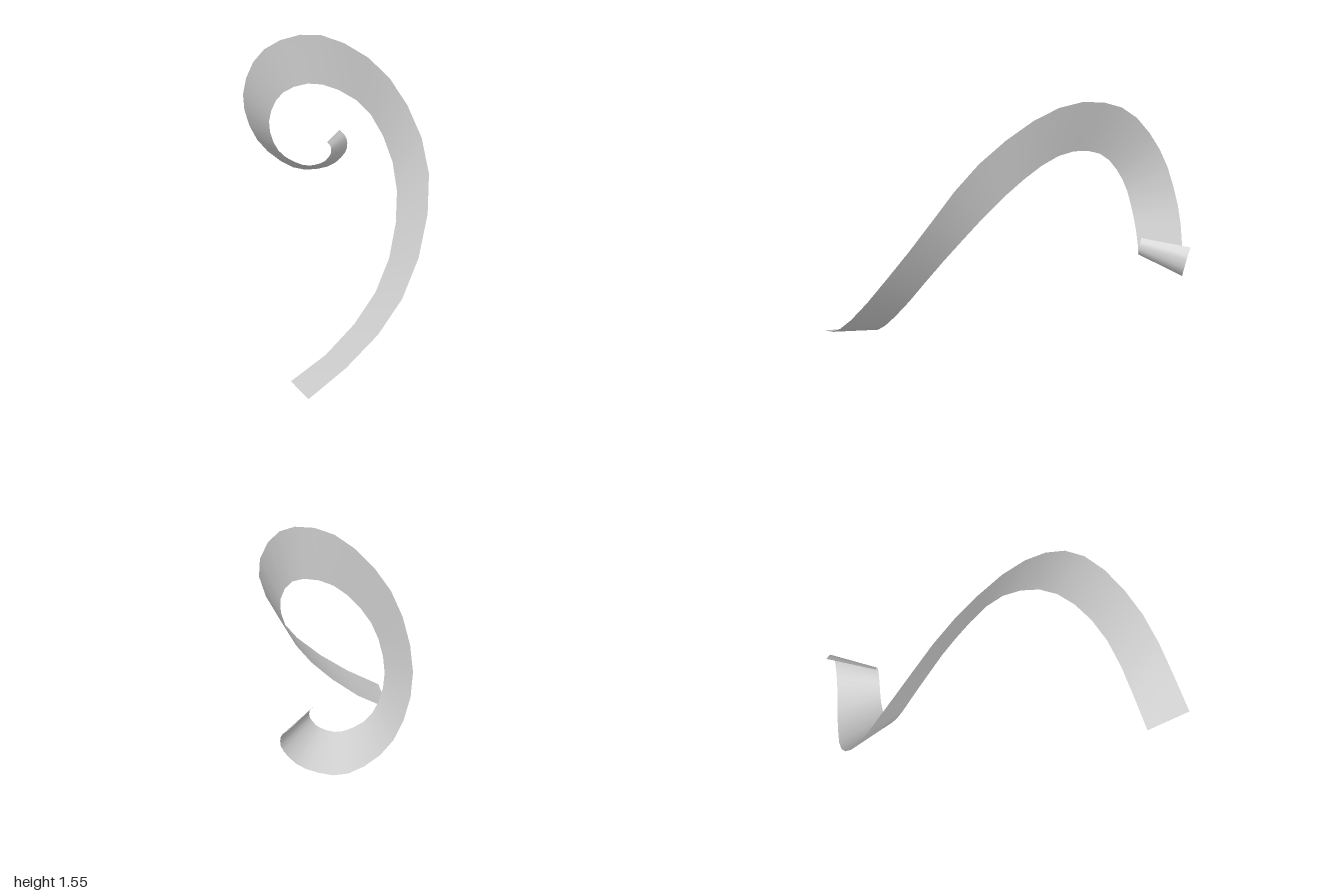
import * as THREE from 'three';

// Matching knots along the two edges of the ribbon, from its foot to the curled tip.
// The first knot of each edge only sets the direction of the curve at the foot.
const OUTER = [
  [-0.35, -0.27, 1.455], [0.24, 0.03, 1], [0.61, 0.45, 0.615], [0.65, 0.99, 0.24],
  [0.37, 1.41, -0.03], [-0.075, 1.56, -0.285], [-0.475, 1.415, -0.495], [-0.667, 1.1, -0.665],
  [-0.63, 0.79, -0.8], [-0.435, 0.605, -0.895], [-0.235, 0.61, -0.95], [-0.13, 0.7, -0.98],
  [-0.125, 0.785, -0.995], [-0.17, 0.835, -1],
];
const INNER = [
  [-0.53, -0.16, 1.185], [0.08, 0.005, 0.78], [0.43, 0.4, 0.445], [0.46, 0.85, 0.135],
  [0.25, 1.18, -0.12], [-0.07, 1.285, -0.29], [-0.34, 1.19, -0.425], [-0.46, 0.985, -0.525],
  [-0.43, 0.79, -0.605], [-0.305, 0.695, -0.675], [-0.2, 0.705, -0.71], [-0.15, 0.755, -0.725],
  [-0.148, 0.8, -0.73], [-0.17, 0.83, -0.73],
];
const STEPS_PER_KNOT = 3;

function edgeCurve(knots) {
  return new THREE.CatmullRomCurve3(knots.map((k) => new THREE.Vector3(...k)), false, 'catmullrom', 0.5);
}

// Strip of quads stretched between two edge curves
function ribbonGeometry(outer, inner, segments, first) {
  const positions = [];
  const indices = [];
  for (let i = first; i <= segments; i++) {
    const t = i / segments;
    positions.push(...outer.getPoint(t).toArray(), ...inner.getPoint(t).toArray());
    if (i < segments) {
      const a = (i - first) * 2;
      indices.push(a, a + 2, a + 1, a + 1, a + 2, a + 3);
    }
  }
  const geometry = new THREE.BufferGeometry();
  geometry.setAttribute('position', new THREE.Float32BufferAttribute(positions, 3));
  geometry.setIndex(indices);
  geometry.computeVertexNormals();
  return geometry;
}

export function createModel() {
  const group = new THREE.Group();
  group.name = 'spiralRibbon';

  const grey = new THREE.MeshStandardMaterial({ color: 0xcccccc, side: THREE.DoubleSide });
  grey.name = 'lightGrey';

  // Thin curling band
  const segments = (OUTER.length - 1) * STEPS_PER_KNOT;
  const ribbon = new THREE.Mesh(
    ribbonGeometry(edgeCurve(OUTER), edgeCurve(INNER), segments, STEPS_PER_KNOT), grey);
  ribbon.name = 'ribbon';
  group.add(ribbon);
  return group;
}
